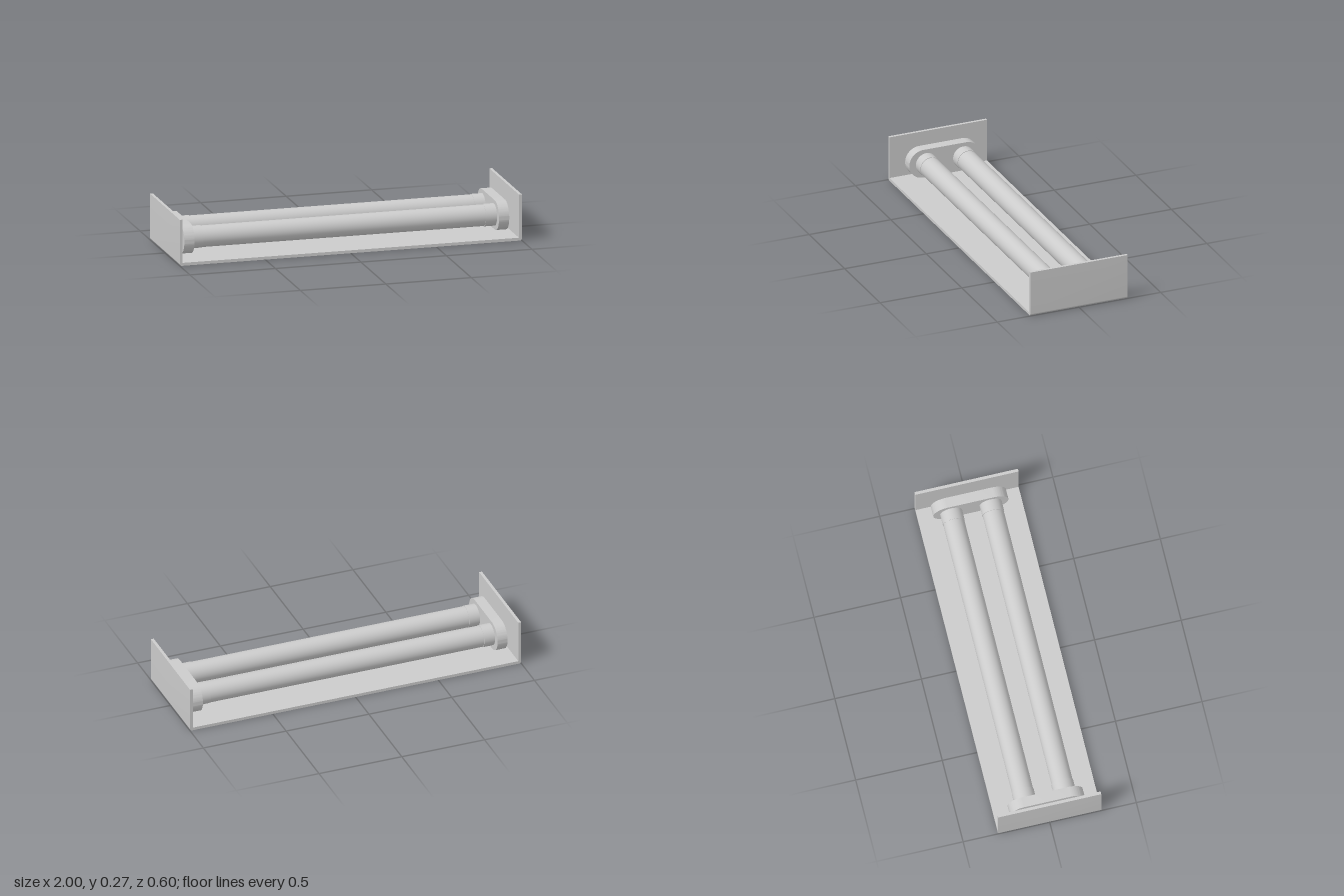
import * as THREE from 'three';
import { toCreasedNormals } from 'three/addons/utils/BufferGeometryUtils.js';

const material = new THREE.MeshStandardMaterial({ color: 0xcccccc });

function addMesh(parent, name, geometry) {
  const mesh = new THREE.Mesh(geometry, material);
  mesh.name = name;
  parent.add(mesh);
  return mesh;
}

// Bent sheet channel: U profile with small rounded outer bends
function channelGeometry() {
  const height = 0.268, depth = 0.596, t = 0.017, r = 0.012;
  const s = new THREE.Shape();
  s.moveTo(-1, height);
  s.lineTo(-1, r);
  s.absarc(-1 + r, r, r, Math.PI, Math.PI * 1.5, false);
  s.lineTo(1 - r, 0);
  s.absarc(1 - r, r, r, -Math.PI / 2, 0, false);
  s.lineTo(1, height);
  s.lineTo(1 - t, height);
  s.lineTo(1 - t, t);
  s.lineTo(-1 + t, t);
  s.lineTo(-1 + t, height);
  s.closePath();
  const g = new THREE.ExtrudeGeometry(s, { depth, bevelEnabled: false, curveSegments: 6 });
  g.translate(0, 0, -depth / 2);
  return toCreasedNormals(g, 0.6);
}

// Stadium-shaped plate, centred and lying across the x axis
function capGeometry(halfLength, radius, thickness) {
  const c = halfLength - radius;
  const s = new THREE.Shape();
  s.absarc(c, 0, radius, -Math.PI / 2, Math.PI / 2, false);
  s.absarc(-c, 0, radius, Math.PI / 2, Math.PI * 1.5, false);
  s.closePath();
  const g = new THREE.ExtrudeGeometry(s, { depth: thickness, bevelEnabled: false, curveSegments: 28 });
  g.translate(0, 0, -thickness / 2);
  g.rotateY(Math.PI / 2);
  return toCreasedNormals(g, 0.6);
}

const rod = (radius, length) =>
  new THREE.CylinderGeometry(radius, radius, length, 48).rotateZ(Math.PI / 2);

export function createModel() {
  const model = new THREE.Group();
  model.name = 'twinTubeFixture';

  addMesh(model, 'channel', channelGeometry());

  // End holders
  for (const side of [-1, 1]) {
    const cap = addMesh(model, side > 0 ? 'leftHolder' : 'rightHolder', capGeometry(0.217, 0.085, 0.06));
    cap.position.set(side * 0.92, 0.114, 0);
  }

  // Two tubes with slightly wider collars at both ends
  for (const z of [-0.114, 0.114]) {
    const tube = new THREE.Group();
    tube.name = z > 0 ? 'frontTube' : 'backTube';
    tube.position.set(0, 0.113, z);
    addMesh(tube, 'tubeBody', rod(0.061, 1.8));
    for (const side of [-1, 1]) {
      addMesh(tube, 'collar', rod(0.0635, 0.07)).position.x = side * 0.861;
    }
    model.add(tube);
  }

  return model;
}
